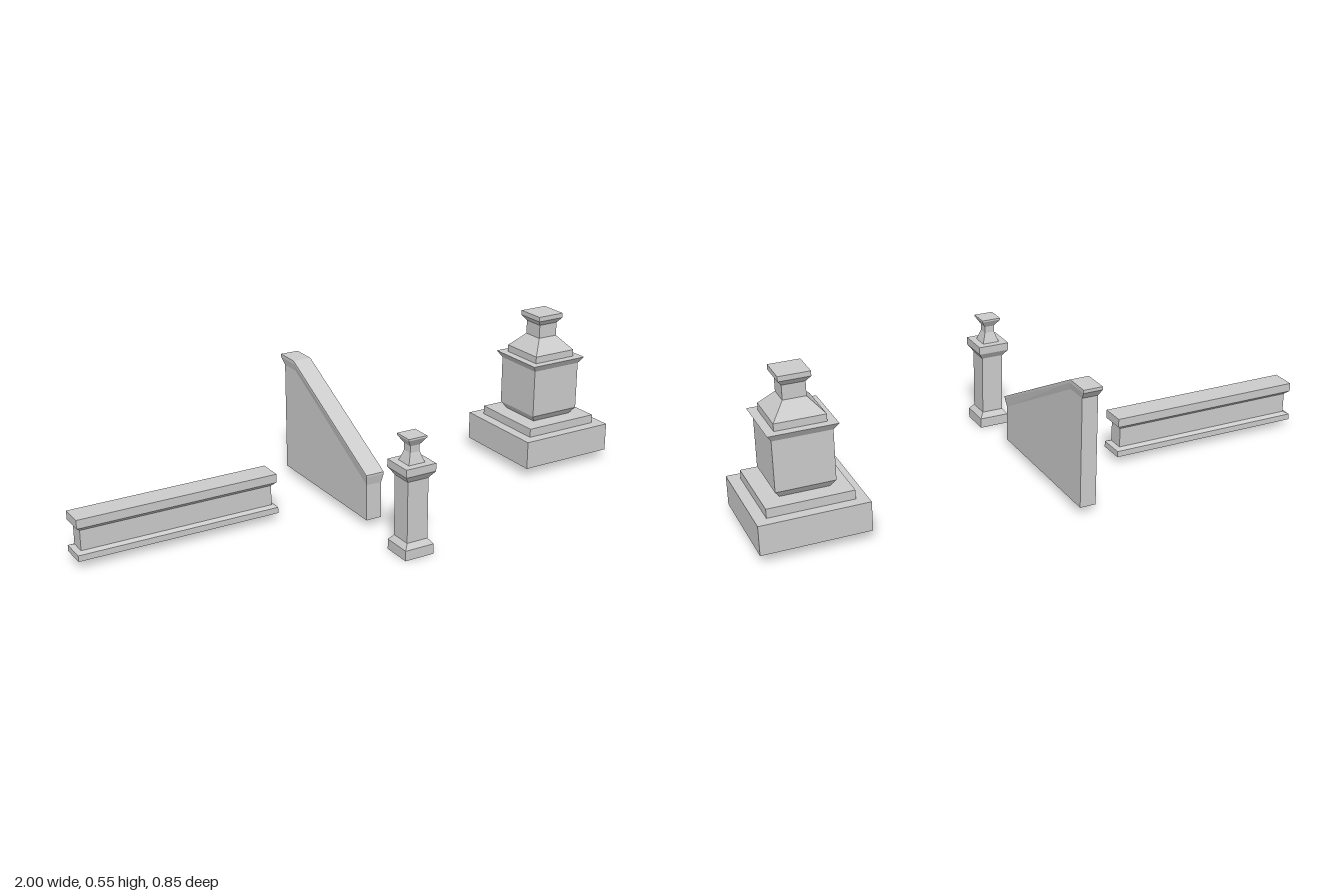
import * as THREE from 'three';

const material = new THREE.MeshStandardMaterial({ color: 0xcccccc, flatShading: true });

// Closed solid through a stack of rings; each ring runs counter-clockwise seen from above.
function loft(name, rings) {
  const pos = [];
  const n = rings[0].length;
  const quad = (a, b, c, d) => pos.push(...a, ...b, ...c, ...a, ...c, ...d);
  for (let k = 0; k < rings.length - 1; k++) {
    for (let i = 0; i < n; i++) {
      const j = (i + 1) % n;
      quad(rings[k][i], rings[k][j], rings[k + 1][j], rings[k + 1][i]);
    }
  }
  const low = rings[0], top = rings[rings.length - 1];
  for (let i = 0; i < n / 2 - 1; i++) {
    quad(top[i], top[i + 1], top[n - 2 - i], top[n - 1 - i]);
    quad(low[n - 1 - i], low[n - 2 - i], low[i + 1], low[i]);
  }
  const geometry = new THREE.BufferGeometry();
  geometry.setAttribute('position', new THREE.Float32BufferAttribute(pos, 3));
  geometry.computeVertexNormals();
  const mesh = new THREE.Mesh(geometry, material);
  mesh.name = name;
  return mesh;
}

// Rectangular moulding: profile of [half depth, height]; extra lengthens it along x.
function moulding(name, profile, extra = 0) {
  return loft(name, profile.map(([r, y]) => {
    const x = r + extra;
    return [[x, y, r], [x, y, -r], [-x, y, -r], [-x, y, r]];
  }));
}

function group(name, x, z, ...parts) {
  const g = new THREE.Group();
  g.name = name;
  g.position.set(x, 0, z);
  g.add(...parts);
  return g;
}

export function createModel() {
  const model = new THREE.Group();
  model.name = 'stoneworkSet';

  // Large pedestal
  model.add(group('pedestal', 0.82, -0.091,
    moulding('plinth', [[0.18, 0.034], [0.18, 0.135]]),
    moulding('step', [[0.142, 0.135], [0.142, 0.166]]),
    moulding('body', [[0.081, 0.166], [0.0975, 0.19], [0.0975, 0.363], [0.113, 0.387]]),
    moulding('shoulder', [[0.084, 0.387], [0.084, 0.412], [0.038, 0.462], [0.038, 0.511]]),
    moulding('cap', [[0.038, 0.511], [0.0525, 0.53], [0.0525, 0.547]])));

  // Slim post
  model.add(group('post', -0.043, 0.3735,
    moulding('postShaft', [[0.053, 0], [0.053, 0.035], [0.0385, 0.053], [0.0385, 0.263],
      [0.0555, 0.287], [0.0555, 0.314]]),
    moulding('postFinial', [[0.03, 0.314], [0.0175, 0.35], [0.0175, 0.373],
      [0.034, 0.398], [0.034, 0.404]])));

  // Low rail with projecting foot and coping
  model.add(group('rail', -0.647, -0.0995,
    moulding('railBeam', [[0.0455, 0.027], [0.0455, 0.048], [0.029, 0.055], [0.029, 0.125],
      [0.043, 0.138], [0.043, 0.168]], 0.3075)));

  // Sloped stair wall: rows of [half thickness, then y, z at the front, bend and back]
  const rows = [
    [0.028, [0.025, 0.147], [0.025, -0.327], [0.025, -0.405]],
    [0.028, [0.152, 0.147], [0.41, -0.327], [0.41, -0.405]],
    [0.0335, [0.183, 0.154], [0.435, -0.331], [0.435, -0.424]],
    [0.0335, [0.19, 0.154], [0.446, -0.332], [0.446, -0.424]],
  ];
  const wallRings = rows.map(([x, ...line]) => [
    ...line.map(([y, z]) => [x, y, z]),
    ...line.slice().reverse().map(([y, z]) => [-x, y, z]),
  ]);
  model.add(group('stairWall', -0.0415, 0, loft('slopedWall', wallRings)));

  return model;
}
